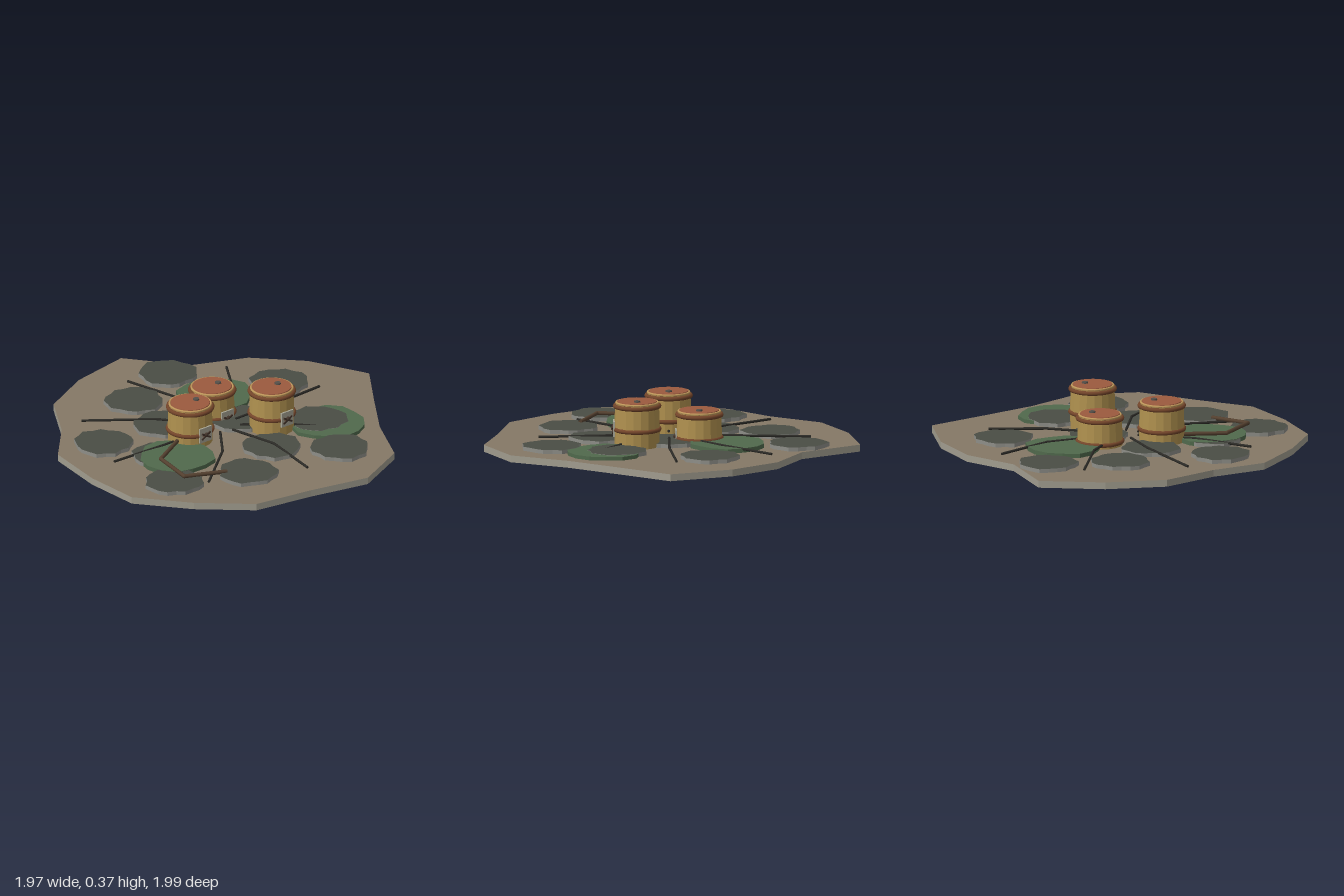
import * as THREE from 'three';

const mat = (color, flatShading = false) => new THREE.MeshStandardMaterial({ color, flatShading });
const M = {
  earth: mat(0x857866), edge: mat(0xa09c8e), stone: mat(0x4a4d45), stoneEdge: mat(0x8e8e88),
  moss: mat(0x50694c), twig: mat(0x2b2a26), pipe: mat(0x54402f), wood: mat(0xb0914f, true),
  hoop: mat(0x74452a), lid: mat(0x9c5a3e), rim: mat(0xc39a5c), bung: mat(0x55504a),
  plate: mat(0xa9a797), mark: mat(0x46362c),
};

function add(parent, name, geometry, material, x = 0, y = 0, z = 0) {
  const mesh = new THREE.Mesh(geometry, material);
  mesh.name = name;
  mesh.position.set(x, y, z);
  parent.add(mesh);
  return mesh;
}

// Flat slab lying in the ground plane, from [x, z] outline points
function slab(points, height) {
  const shape = new THREE.Shape(points.map(([x, z]) => new THREE.Vector2(x, -z)));
  return new THREE.ExtrudeGeometry(shape, { depth: height, bevelEnabled: false }).rotateX(-Math.PI / 2);
}

// Rounded outline with shallow, slightly uneven lobes
function lobed(radius, sides, lobes, amount, phase) {
  return Array.from({ length: sides }, (_, i) => {
    const a = (i / sides) * Math.PI * 2;
    const r = radius * (1 + amount * Math.sin(lobes * a + phase) + 0.04 * Math.sin(3 * a + phase * 2));
    return [r * Math.cos(a), r * Math.sin(a)];
  });
}

// Straight round rods joined end to end, with ball joints at the bends
function rods(parent, name, points, radius, material) {
  const g = new THREE.Group();
  g.name = name;
  const v = points.map((p) => new THREE.Vector3(...p));
  for (let i = 0; i + 1 < v.length; i++) {
    const dir = v[i + 1].clone().sub(v[i]);
    const mid = v[i].clone().add(v[i + 1]).multiplyScalar(0.5);
    const rod = add(g, 'segment', new THREE.CylinderGeometry(radius, radius, dir.length(), 8), material, mid.x, mid.y, mid.z);
    rod.quaternion.setFromUnitVectors(new THREE.Vector3(0, 1, 0), dir.normalize());
    if (i > 0) add(g, 'joint', new THREE.SphereGeometry(radius, 8, 6), material, v[i].x, v[i].y, v[i].z);
  }
  parent.add(g);
}

// Barrel with its base at y = 0
function barrel() {
  const g = new THREE.Group();
  g.name = 'barrel';
  const profile = [[0, 0], [0.114, 0], [0.117, 0.03], [0.121, 0.14], [0.117, 0.25], [0.114, 0.285], [0, 0.285]];
  add(g, 'body', new THREE.LatheGeometry(profile.map(([x, y]) => new THREE.Vector2(x, y)), 18), M.wood);
  for (const [y, r] of [[0.018, 0.116], [0.142, 0.118], [0.266, 0.117]]) {
    add(g, 'hoop', new THREE.TorusGeometry(r, 0.012, 8, 32).rotateX(Math.PI / 2), M.hoop, 0, y, 0);
  }
  add(g, 'rim', new THREE.TorusGeometry(0.11, 0.006, 6, 32).rotateX(Math.PI / 2), M.rim, 0, 0.284, 0);
  add(g, 'lid', new THREE.CylinderGeometry(0.104, 0.107, 0.012, 32), M.lid, 0, 0.286, 0);
  add(g, 'bung', new THREE.CylinderGeometry(0.016, 0.018, 0.012, 10), M.bung, 0.042, 0.294, 0);
  // Warning plate with crossed bars
  add(g, 'plate', new THREE.BoxGeometry(0.082, 0.082, 0.01), M.plate, 0, 0.145, 0.122);
  for (const s of [-1, 1]) {
    add(g, 'plateBar', new THREE.BoxGeometry(0.066, 0.01, 0.006), M.mark, 0, 0.14, 0.129).rotation.z = s * 0.5;
  }
  add(g, 'plateStud', new THREE.SphereGeometry(0.012, 8, 6), M.mark, 0, 0.146, 0.127);
  return g;
}

export function createModel() {
  const model = new THREE.Group();
  model.name = 'barrelClearing';

  // Ground slab
  const outline = [[0.98, 0.01], [0.77, 0.29], [0.58, 0.55], [0.42, 0.85], [0.11, 0.99], [-0.22, 0.91],
    [-0.55, 0.85], [-0.79, 0.62], [-0.99, 0.35], [-0.99, 0.03], [-0.93, -0.31], [-0.71, -0.53],
    [-0.53, -0.8], [-0.23, -0.94], [0.12, -1], [0.34, -0.69], [0.63, -0.56], [0.84, -0.32]];
  add(model, 'ground', slab(outline, 0.037), [M.earth, M.edge], 0, 0.09, 0);

  // Paving stones
  const stones = [[0.16, -0.67], [-0.2, -0.53], [-0.67, -0.24], [-0.28, -0.21], [0.53, -0.2], [0.07, 0.01],
    [-0.54, 0.08], [-0.71, 0.37], [-0.03, 0.38], [-0.34, 0.54], [0.23, 0.63], [0.375, 0.29]];
  stones.forEach(([x, z], i) => {
    const geo = slab(lobed(0.153, 20, 7 + (i % 3), 0.055, i * 1.7), 0.026);
    add(model, 'stone', geo, [M.stone, M.stoneEdge], x, 0.122, z);
  });

  // Moss patches
  [[0.17, -0.3, 0.15], [-0.5, 0.15, 0.15], [0.39, 0.35, 0.1465]].forEach(([x, z, top], i) => {
    add(model, 'moss', slab(lobed(0.198, 14, 5, 0.035, i * 2 + 1), top - 0.124), M.moss, x, 0.124, z);
  });

  // Twigs spreading from the middle: tip, bend and inner end as [x, z]
  const twigs = [
    [[-0.06, -0.74], [-0.015, -0.38], [-0.04, -0.14]], [[-0.57, -0.53], [-0.28, -0.26], [-0.13, -0.06]],
    [[0.45, -0.53], [0.27, -0.27], [0.09, -0.12]], [[-0.78, -0.03], [-0.46, 0.01], [-0.15, 0.01]],
    [[0.66, -0.025], [0.35, 0.01], [0.04, 0.01]], [[-0.57, 0.49], [-0.28, 0.27], [-0.13, 0.08]],
    [[-0.06, 0.7], [-0.015, 0.38], [-0.06, 0.1]], [[0.35, 0.38], [0.2, 0.24], [0.01, 0.08]]];
  for (const path of twigs) {
    rods(model, 'twig', path.map(([x, z], i) => [x, [0.138, 0.152, 0.15][i], z]), 0.007, M.twig);
  }

  // Bent drain pipe
  rods(model, 'pipe', [[-0.38, 0.165, 0.03], [-0.6, 0.158, 0.14], [-0.65, 0.157, 0.385], [-0.43, 0.15, 0.475]], 0.011, M.pipe);

  // Barrels sunk to different depths
  for (const [x, y, z] of [[-0.28, 0.055, 0.01], [0.015, 0.006, -0.15], [0.145, 0.077, 0.18]]) {
    const b = barrel();
    b.position.set(x, y, z);
    model.add(b);
  }
  return model;
}
